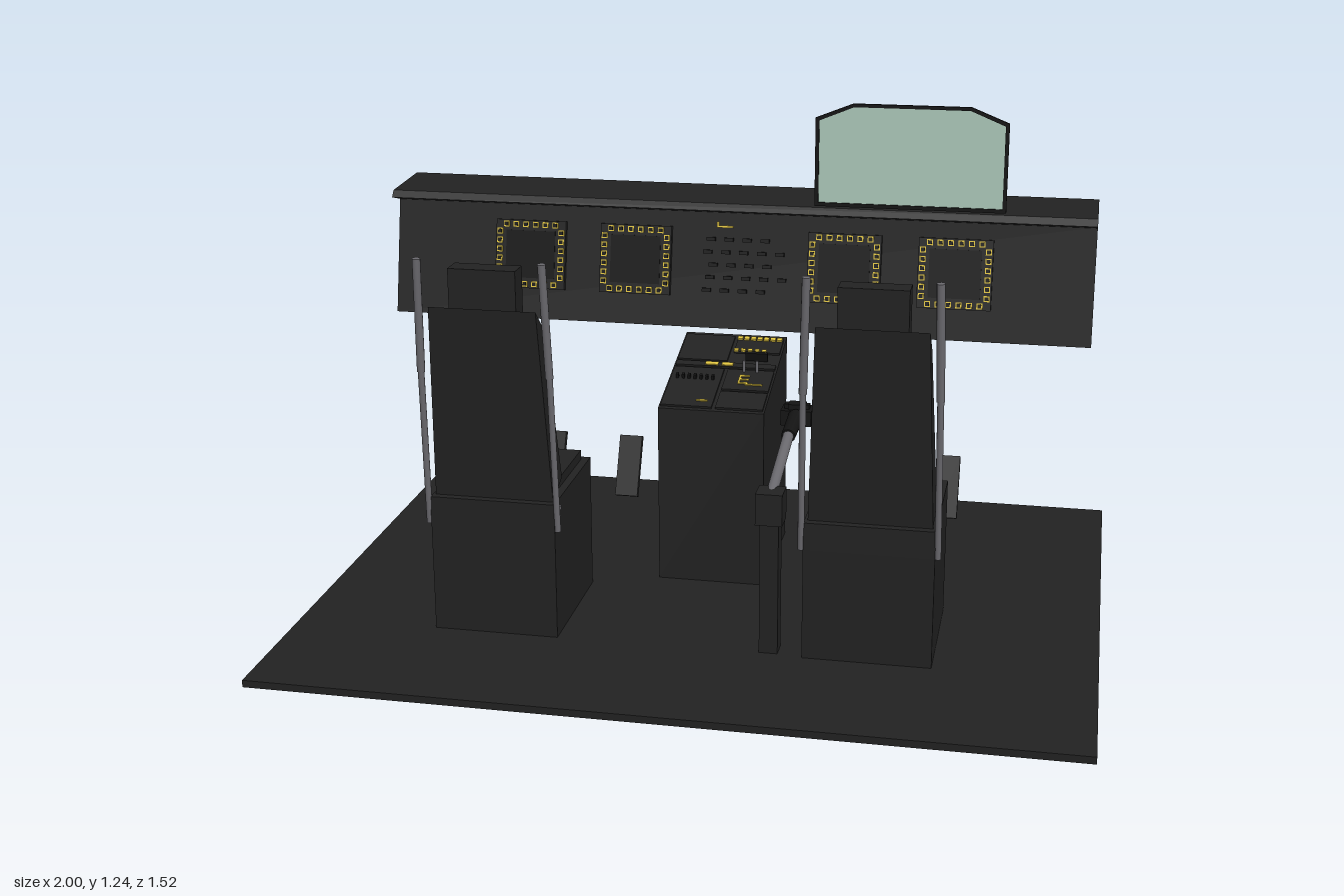
import * as THREE from 'three';

const mat = (name, color, side = THREE.FrontSide) => {
  const m = new THREE.MeshStandardMaterial({ color, side });
  m.name = name;
  return m;
};

export function createModel() {
  const charcoal = mat('charcoal', 0x222222);
  const black = mat('black', 0x141414);
  const grey = mat('metal grey', 0x6a696e);
  const yellow = mat('marking yellow', 0xe0c440);
  const glass = mat('pale green glass', 0xadcabb, THREE.DoubleSide);

  const root = new THREE.Group();
  root.name = 'cockpit';

  const group = (name, parent, x = 0, y = 0, z = 0) => {
    const g = new THREE.Group();
    g.name = name;
    g.position.set(x, y, z);
    parent.add(g);
    return g;
  };
  const add = (parent, name, geo, m) => {
    const mesh = new THREE.Mesh(geo, m);
    mesh.name = name;
    parent.add(mesh);
    return mesh;
  };
  // Box given by its low and high corners
  const box = (parent, name, m, [x0, y0, z0], [x1, y1, z1]) => {
    const mesh = add(parent, name, new THREE.BoxGeometry(x1 - x0, y1 - y0, z1 - z0), m);
    mesh.position.set((x0 + x1) / 2, (y0 + y1) / 2, (z0 + z1) / 2);
    return mesh;
  };
  // Side profile of [z, y] points stretched from x0 to x1
  const prism = (parent, name, m, pts, x0, x1) => {
    const shape = new THREE.Shape(pts.map(([z, y]) => new THREE.Vector2(z, y)));
    const geo = new THREE.ExtrudeGeometry(shape, { depth: x1 - x0, bevelEnabled: false });
    geo.rotateY(-Math.PI / 2).translate(x1, 0, 0);
    return add(parent, name, geo, m);
  };
  // Round rod between two points
  const rod = (parent, name, m, a, b, r0, r1 = r0, sides = 12) => {
    const p = new THREE.Vector3(...a), q = new THREE.Vector3(...b);
    const mesh = add(parent, name, new THREE.CylinderGeometry(r1, r0, p.distanceTo(q), sides), m);
    mesh.position.copy(p).add(q).multiplyScalar(0.5);
    mesh.quaternion.setFromUnitVectors(new THREE.Vector3(0, 1, 0), q.sub(p).normalize());
    return mesh;
  };

  box(root, 'floor', charcoal, [-1, 0, -0.76], [1, 0.018, 0.76]);

  // Instrument panel and the hood above it
  prism(root, 'instrumentPanel', charcoal,
    [[-0.41, 0.61], [-0.43, 0.605], [-0.512, 0.91], [-0.475, 0.925]], -1, 0.94);
  prism(root, 'glareshield', charcoal,
    [[-0.41, 0.94], [-0.475, 0.922], [-0.505, 0.905], [-0.625, 0.905], [-0.625, 0.968], [-0.425, 0.958]], -1, 0.94);

  // Panel fittings, in a frame lying on the sloping panel face
  const face = group('panelFittings', root, 0, 0.61, -0.41);
  face.rotation.x = -0.205;
  const button = (parent, x, y, z) => {
    box(parent, 'buttonRim', yellow, [x - 0.008, y - 0.008, z], [x + 0.008, y + 0.008, z + 0.004]);
    box(parent, 'buttonCap', black, [x - 0.005, y - 0.005, z], [x + 0.005, y + 0.005, z + 0.007]);
  };
  for (const x of [-0.61, -0.31, 0.27, 0.57]) {
    const d = group('display', face, x, 0.18, 0);
    box(d, 'bezel', charcoal, [-0.1, -0.095, -0.005], [0.1, 0.095, 0.015]);
    box(d, 'screen', black, [-0.07, -0.066, 0.015], [0.07, 0.066, 0.017]);
    for (let i = 0; i < 6; i++) {
      const t = i / 5 - 0.5;
      for (const s of [-1, 1]) {
        button(d, t * 0.14, s * 0.083, 0.015);
        button(d, s * 0.088, t * 0.125, 0.015);
      }
    }
  }
  // Switches in the middle of the panel
  for (let row = 0; row < 5; row++) {
    for (let i = 0; i < 4 + (row % 2); i++) {
      const x = -0.12 + i * 0.05 + (row % 3) * 0.008, y = 0.1 + row * 0.035;
      box(face, 'switch', black, [x, y, 0], [x + 0.024, y + 0.01, 0.012]);
    }
  }
  box(face, 'warningStrip', yellow, [-0.085, 0.277, 0], [-0.04, 0.283, 0.006]);
  box(face, 'warningStripEnd', yellow, [-0.085, 0.283, 0], [-0.08, 0.293, 0.006]);

  // Head-up display glass with a thin dark frame
  const outline = [[0.19, 0.965], [0.70, 0.965], [0.70, 1.203], [0.60, 1.243], [0.29, 1.243], [0.19, 1.203]];
  const inset = [[0.2, 0.975], [0.69, 0.975], [0.69, 1.196], [0.598, 1.234], [0.292, 1.234], [0.2, 1.196]];
  const vec = (a) => a.map(([x, y]) => new THREE.Vector2(x, y));
  const frameShape = new THREE.Shape(vec(outline));
  frameShape.holes.push(new THREE.Path(vec(inset)));
  const hud = group('headUpDisplay', root, 0, 0, -0.421);
  add(hud, 'glassFrame', new THREE.ExtrudeGeometry(frameShape, { depth: 0.008, bevelEnabled: false }), black);
  add(hud, 'glassPane', new THREE.ShapeGeometry(new THREE.Shape(vec(inset))), glass).position.z = 0.004;

  // Centre pedestal with a sloping top
  prism(root, 'pedestal', charcoal,
    [[-0.035, 0.018], [-0.41, 0.018], [-0.41, 0.595], [-0.035, 0.495]], -0.16, 0.12);
  const top = group('pedestalControls', root, 0, 0.495, -0.035);
  top.rotation.x = Math.atan2(0.1, 0.375);
  // Each module: x0, x1, near z, far z along the slope
  for (const [x0, x1, a, b] of [[-0.155, -0.02, 0.01, 0.2], [-0.01, 0.115, 0.1, 0.2],
    [-0.155, -0.02, 0.24, 0.37], [-0.01, 0.115, 0.29, 0.37], [-0.01, 0.115, 0.01, 0.09], [-0.155, 0.115, 0.21, 0.232]]) {
    box(top, 'controlModule', charcoal, [x0, -0.005, -b], [x1, 0.006, -a]);
  }
  for (let i = 0; i < 7; i++) {
    box(top, 'key', yellow, [-0.01 + i * 0.018, 0.006, -0.364], [0.004 + i * 0.018, 0.011, -0.35]);
    if (i < 5) box(top, 'key', yellow, [-0.01 + i * 0.019, 0.006, -0.3], [0.002 + i * 0.019, 0.011, -0.29]);
    box(top, 'knob', black, [-0.14 + i * 0.016, 0.006, -0.15], [-0.133 + i * 0.016, 0.018, -0.14]);
  }
  box(top, 'keyRow', yellow, [-0.075, 0.006, -0.228], [-0.04, 0.009, -0.214]);
  box(top, 'keyRow', yellow, [-0.03, 0.006, -0.228], [0, 0.009, -0.214]);
  for (let i = 0; i < 3; i++) box(top, 'label', yellow, [0.028, 0.006, -0.17 + i * 0.018], [0.055, 0.009, -0.164 + i * 0.018]);
  box(top, 'label', yellow, [0.028, 0.006, -0.17], [0.033, 0.009, -0.13]);
  box(top, 'label', yellow, [0.05, 0.006, -0.128], [0.095, 0.009, -0.123]);
  box(top, 'label', yellow, [-0.065, 0.006, -0.04], [-0.035, 0.009, -0.034]);
  box(top, 'leverBlock', black, [0.03, 0.006, -0.255], [0.09, 0.03, -0.245]);
  for (const x of [0.035, 0.07]) rod(top, 'lever', grey, [x, 0, -0.19], [x, 0.035, -0.2], 0.004);

  // Seats
  for (const cx of [-0.485, 0.445]) {
    const s = group('seat', root, cx);
    box(s, 'seatBase', charcoal, [-0.158, 0.018, 0.03], [0.158, 0.3, 0.385]);
    box(s, 'seatPan', charcoal, [-0.158, 0.3, 0.03], [0.158, 0.37, 0.385]);
    box(s, 'cushion', charcoal, [-0.138, 0.37, 0.05], [0.138, 0.395, 0.36]);
    // Backrest: a box leaned back and narrowed toward the top
    const back = new THREE.BoxGeometry(1, 1, 1), p = back.attributes.position;
    for (let i = 0; i < p.count; i++) {
      const up = p.getY(i) > 0, rear = p.getZ(i) < 0 ? 0 : 1;
      p.setXYZ(i, p.getX(i) * (up ? 0.265 : 0.3), up ? (rear ? 0.865 : 0.805) : (rear ? 0.37 : 0.405),
        up ? 0.348 + rear * 0.067 : 0.28 + rear * 0.085);
    }
    back.computeVertexNormals();
    add(s, 'backrest', back, charcoal);
    prism(s, 'backPad', charcoal, [[0.276, 0.43], [0.34, 0.79], [0.36, 0.79], [0.3, 0.43]], -0.115, 0.115);
    box(s, 'headrest', charcoal, [-0.083, 0.825, 0.35], [0.083, 0.96, 0.408]);
    for (const side of [-1, 1]) {
      rod(s, 'seatRail', grey, [side * 0.164, 0.3, 0.378], [side * 0.16, 0.72, 0.406], 0.008);
      rod(s, 'seatRailTop', grey, [side * 0.16, 0.7, 0.405], [side * 0.153, 0.985, 0.424], 0.01);
      box(s, 'railBracket', grey, [side * 0.158 - 0.006, 0.345, 0.34], [side * 0.158 + 0.006, 0.355, 0.38]);
    }
  }
  const pull = box(root, 'seatHandle', yellow, [0.405, 0.383, 0.014], [0.485, 0.393, 0.023]);
  pull.rotation.x = -0.5;
  for (const x of [0.415, 0.475]) rod(root, 'seatHandleArm', black, [x, 0.368, 0.035], [x, 0.388, 0.018], 0.004);

  // Side lever on its post
  const lever = group('collectiveLever', root, 0.203);
  box(lever, 'leverPost', charcoal, [-0.023, 0.018, 0.325], [0.023, 0.36, 0.375]);
  box(lever, 'leverHousing', charcoal, [-0.033, 0.355, 0.32], [0.033, 0.435, 0.385]);
  rod(lever, 'leverArm', grey, [0, 0.42, 0.35], [0, 0.485, 0.08], 0.014);
  rod(lever, 'leverGrip', black, [0, 0.483, 0.09], [0, 0.492, -0.04], 0.018, 0.021);
  box(lever, 'leverHead', black, [-0.04, 0.468, -0.095], [0.04, 0.508, -0.035]);
  box(lever, 'leverHeadCap', black, [-0.022, 0.505, -0.08], [0.022, 0.522, -0.045]);
  for (const x of [-0.025, 0.025]) box(lever, 'leverSwitch', black, [x - 0.007, 0.5, -0.075], [x + 0.007, 0.52, -0.055]);

  // Control stick
  const stick = group('controlStick', root, 0.44, 0, -0.133);
  rod(stick, 'stickBoot', black, [0, 0.018, 0], [0, 0.075, 0], 0.036, 0.034, 16);
  rod(stick, 'stickShaft', grey, [0, 0.06, 0], [0, 0.5, 0], 0.011);
  rod(stick, 'stickGrip', black, [0, 0.49, 0], [0, 0.58, -0.025], 0.017, 0.022);
  const head = add(stick, 'stickHead', new THREE.SphereGeometry(1, 16, 12), black);
  head.scale.set(0.026, 0.045, 0.024);
  head.position.set(0, 0.585, -0.026);
  head.rotation.x = -0.25;
  box(stick, 'stickTrigger', black, [-0.006, 0.54, -0.062], [0.006, 0.575, -0.04]);
  rod(stick, 'stickButton', grey, [0, 0.61, -0.015], [0, 0.625, -0.01], 0.007);

  // Foot pedals with their push rods
  for (const x of [-0.6, -0.37, 0.325, 0.56]) {
    const f = group('footPedal', root, x);
    prism(f, 'pedalPlate', charcoal, [[-0.533, 0.05], [-0.55, 0.042], [-0.626, 0.203], [-0.608, 0.211]], -0.033, 0.033);
    rod(f, 'pedalRod', grey, [0, 0.055, -0.605], [0, 0.02, -0.668], 0.006);
  }
  return root;
}
